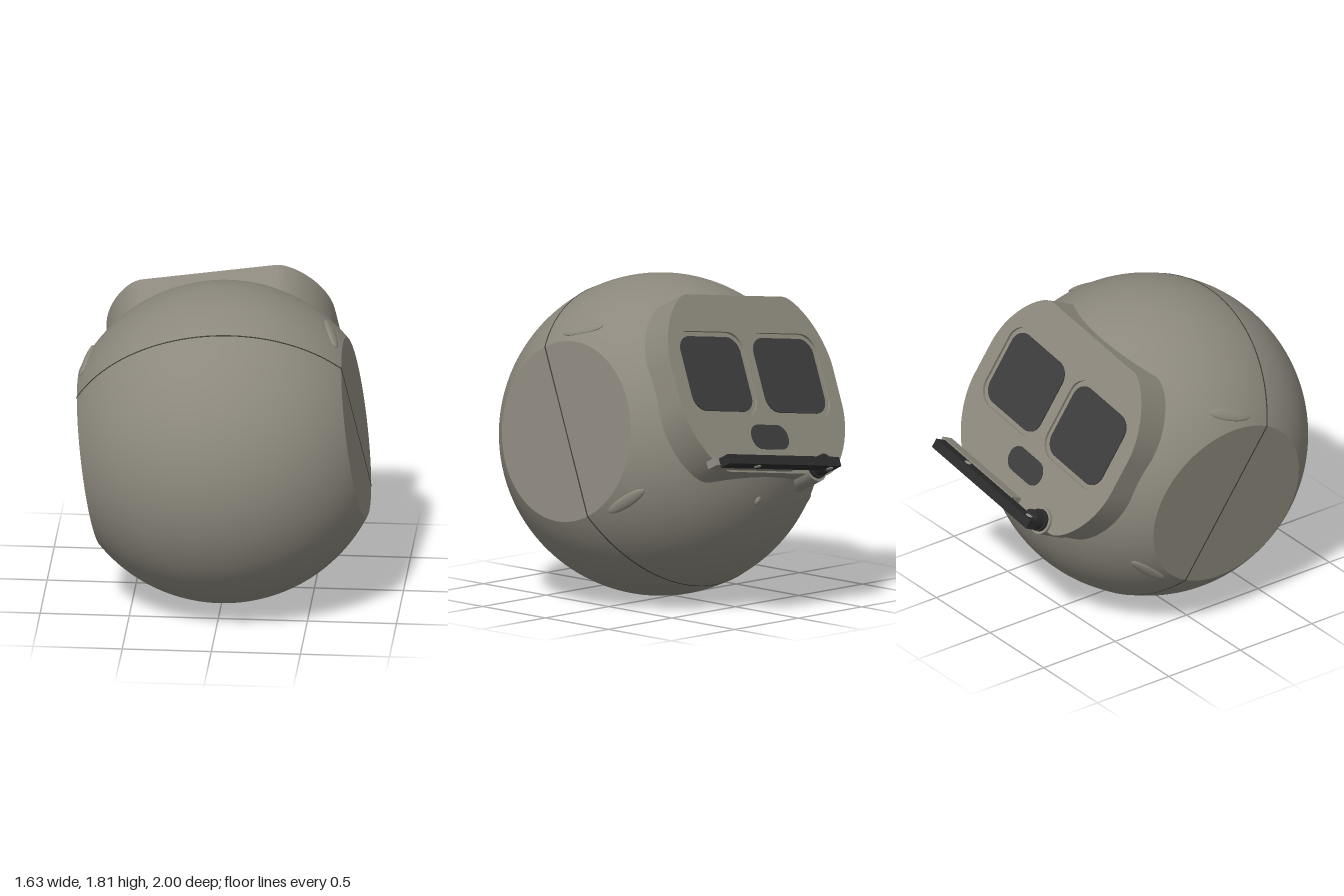
import * as THREE from 'three';
import { toCreasedNormals } from 'three/addons/utils/BufferGeometryUtils.js';

const R = 0.905;      // ball radius
const CAP = 0.75;     // distance of the flat sides from the centre
const FACE = -0.8;    // depth of the housing face (local -z is the camera side)

function material(name, color) {
  const m = new THREE.MeshStandardMaterial({ color });
  m.name = name;
  return m;
}

function roundedRect(cx, cy, hw, hh, r, path = new THREE.Shape()) {
  path.moveTo(cx - hw + r, cy - hh);
  path.absarc(cx + hw - r, cy - hh + r, r, -Math.PI / 2, 0);
  path.absarc(cx + hw - r, cy + hh - r, r, 0, Math.PI / 2);
  path.absarc(cx - hw + r, cy + hh - r, r, Math.PI / 2, Math.PI);
  path.absarc(cx - hw + r, cy - hh + r, r, Math.PI, Math.PI * 1.5);
  return path;
}

// flat-topped outline with bulging sides
function housingShape() {
  const s = new THREE.Shape();
  s.moveTo(-0.38, -0.53);
  s.lineTo(0.38, -0.53);
  s.bezierCurveTo(0.47, -0.53, 0.645, -0.33, 0.645, -0.1);
  s.lineTo(0.645, 0.1);
  s.bezierCurveTo(0.645, 0.33, 0.47, 0.53, 0.38, 0.53);
  s.lineTo(-0.38, 0.53);
  s.bezierCurveTo(-0.47, 0.53, -0.645, 0.33, -0.645, 0.1);
  s.lineTo(-0.645, -0.1);
  s.bezierCurveTo(-0.645, -0.33, -0.47, -0.53, -0.38, -0.53);
  return s;
}

// extrude a shape between two depths
function slab(shape, z0, z1) {
  const g = new THREE.ExtrudeGeometry(shape, { depth: z1 - z0, bevelEnabled: false, curveSegments: 20 });
  g.translate(0, 0, z0);
  return toCreasedNormals(g, 0.6);
}

export function createModel() {
  const hull = material('hull grey', 0x8c887d);
  const glass = material('dark glass', 0x3c3c3c);
  const black = material('wiper black', 0x2b2b2b);
  const seamDark = material('seam dark', 0x3f3d37);
  const steel = material('bolt steel', 0x9a9a96);

  const model = new THREE.Group();
  const body = new THREE.Group();
  body.name = 'tiltedBody';
  model.add(body);

  function add(name, geometry, mat, x = 0, y = 0, z = 0) {
    const m = new THREE.Mesh(geometry, mat);
    m.name = name;
    m.position.set(x, y, z);
    body.add(m);
    return m;
  }

  // ball, turned around the left-right axis, flattened under the housing
  const a = Math.asin(CAP / R);
  const profile = [];
  for (let i = 0; i <= 64; i++) {
    const t = -a + (2 * a * i) / 64;
    profile.push(new THREE.Vector2(R * Math.cos(t), R * Math.sin(t)));
  }
  const ball = new THREE.LatheGeometry(profile, 144);
  ball.rotateZ(-Math.PI / 2);
  const pos = ball.attributes.position;
  for (let i = 0; i < pos.count; i++) pos.setZ(i, Math.max(pos.getZ(i), -0.76));
  add('ball', ball, hull);

  // flat sides
  const capRadius = R * Math.cos(a);
  for (const side of [-1, 1]) {
    const disc = new THREE.CircleGeometry(capRadius, 144);
    disc.rotateY((side * Math.PI) / 2);
    add(side > 0 ? 'leftFlatSide' : 'rightFlatSide', disc, hull, side * CAP, 0, 0);
  }

  // seam between the front and back shells
  const ring = new THREE.Shape();
  const rs = R + 0.002;
  const as = Math.acos((CAP + 0.002) / rs);
  ring.absarc(0, 0, rs, as, Math.PI - as);
  ring.absarc(0, 0, rs, Math.PI + as, 2 * Math.PI - as);
  ring.closePath();
  const seam = new THREE.ExtrudeGeometry(ring, { depth: 0.007, bevelEnabled: false, curveSegments: 72 });
  add('shellSeam', seam, seamDark, 0, 0, -0.0035);

  // camera housing with two recessed windows
  add('cameraHousing', slab(housingShape(), FACE + 0.015, -0.5), hull);
  const facePlate = housingShape();
  for (const side of [-1, 1]) {
    facePlate.holes.push(roundedRect(side * 0.29, 0.06, 0.262, 0.25, 0.11, new THREE.Path()));
    add('window', slab(roundedRect(side * 0.29, 0.06, 0.235, 0.222, 0.09), FACE + 0.008, FACE + 0.016), glass);
  }
  add('housingFace', slab(facePlate, FACE, FACE + 0.015), hull);
  add('sensorWindow', slab(roundedRect(0, -0.316, 0.145, 0.073, 0.07), FACE - 0.003, FACE + 0.004), glass);

  // shallow oval marks on the ball
  function mark(name, x, y, z, halfWidth, halfLength) {
    const n = new THREE.Vector3(x, y, z).normalize();
    const t = new THREE.Vector3(0, 0, 1).addScaledVector(n, -n.z).normalize();
    const s = new THREE.Vector3().crossVectors(n, t);
    const m = add(name, new THREE.SphereGeometry(1, 28, 16), hull);
    m.quaternion.setFromRotationMatrix(new THREE.Matrix4().makeBasis(s, n, t));
    m.scale.set(halfWidth, 0.016, halfLength);
    m.position.copy(n.multiplyScalar(R - 0.004));
  }
  for (const sx of [-1, 1]) {
    for (const sy of [-1, 1]) mark('ovalRecess', sx * 0.69, sy * 0.51, -0.26, 0.036, 0.13);
  }
  mark('drainHole', 0.05, -0.64, -0.64, 0.022, 0.028);

  // wiper pivot
  const pivot = (name, r, z0, z1, mat) => {
    const g = new THREE.CylinderGeometry(r, r, z1 - z0, 36);
    g.rotateX(Math.PI / 2);
    add(name, g, mat, -0.29, -0.5, (z0 + z1) / 2);
  };
  pivot('wiperBoss', 0.078, -0.815, -0.55, hull);
  pivot('wiperCollar', 0.063, -0.835, -0.8, black);
  pivot('wiperShaft', 0.055, -0.9, -0.82, black);

  // wiper arm, blade and bolts
  add('wiperArm', new THREE.BoxGeometry(0.886, 0.055, 0.075), black, 0.097, -0.512, -0.918);
  add('wiperBlade', new THREE.BoxGeometry(0.655, 0.045, 0.075), hull, 0.238, -0.5, -0.845);
  for (const x of [-0.29, 0.285]) {
    add('wiperBolt', new THREE.CylinderGeometry(0.02, 0.02, 0.063, 20), steel, x, -0.512, -0.918);
  }

  // lean the whole body: rolled to one side and pitched face down
  const X = new THREE.Vector3(0.989, 0.146, 0).normalize();
  const F = new THREE.Vector3(0.068, -0.46, 0.885).normalize();
  const U = new THREE.Vector3().crossVectors(F, X).normalize();
  F.crossVectors(X, U);
  body.quaternion.setFromRotationMatrix(new THREE.Matrix4().makeBasis(X, U, F));
  body.position.set(0, R, 0.095);
  return model;
}
